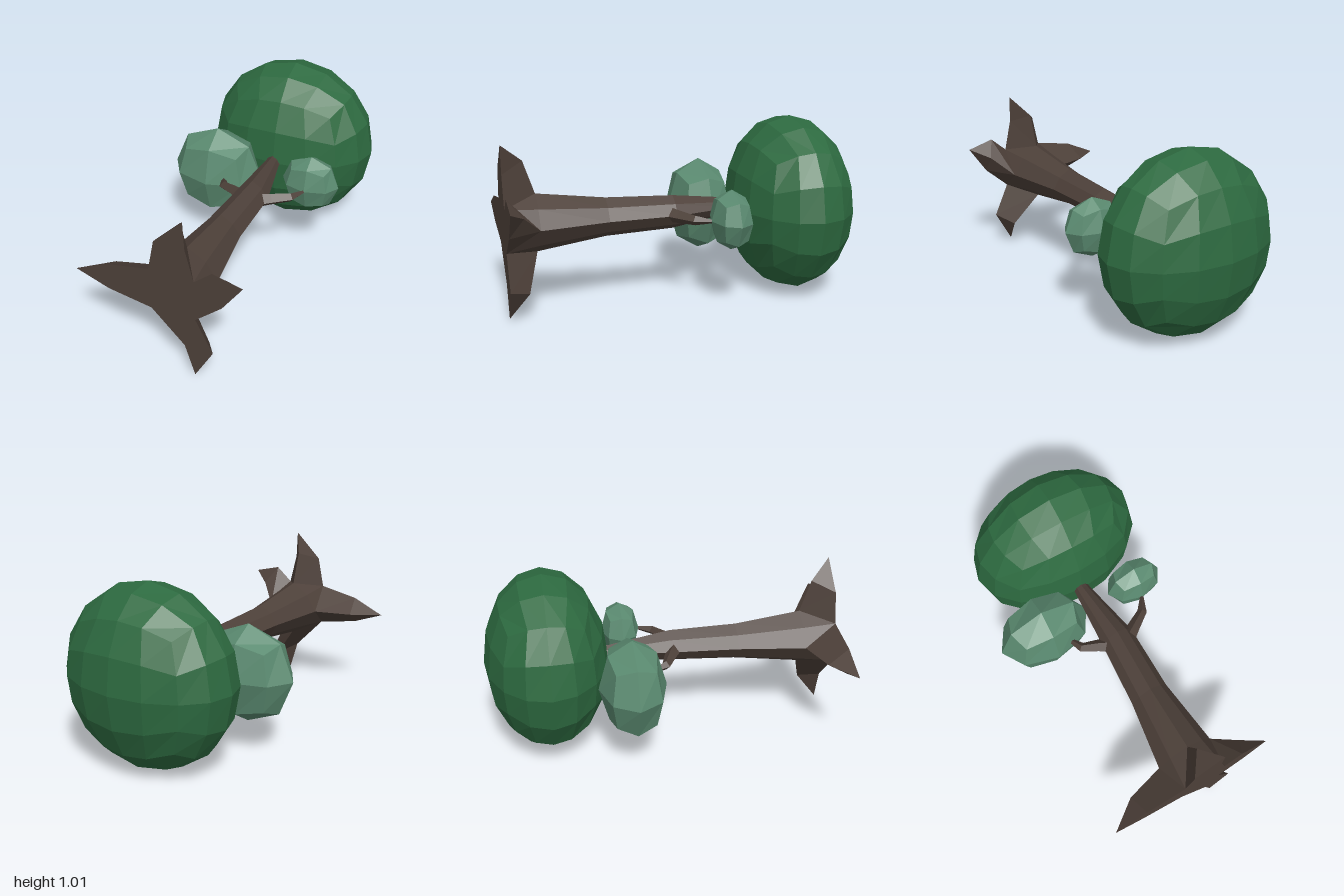
import * as THREE from 'three';

const V = (x, y, z) => new THREE.Vector3(x, y, z);
const UP = V(0, 1, 0);
const paint = (color) => new THREE.MeshStandardMaterial({ color, flatShading: true });

function add(parent, name, geometry, material) {
  const mesh = new THREE.Mesh(geometry, material);
  mesh.name = name;
  parent.add(mesh);
  return mesh;
}

function fromTriangles(points) {
  const geometry = new THREE.BufferGeometry().setFromPoints(points);
  geometry.computeVertexNormals();
  return geometry;
}

// Ring of points around a centre, across a level direction; odd corners may be pulled in
function ring(center, dir, radius, sides, oddScale = 1) {
  const across = UP.clone().cross(dir).normalize();
  return Array.from({ length: sides }, (_, i) => {
    const a = (i / sides) * Math.PI * 2;
    const r = radius * (i % 2 ? oddScale : 1);
    return center.clone().addScaledVector(across, Math.cos(a) * r).addScaledVector(UP, Math.sin(a) * r);
  });
}

// Skin between successive rings
function loft(rings) {
  const tris = [];
  for (let i = 0; i < rings.length - 1; i++) {
    const n = rings[i].length;
    for (let j = 0; j < n; j++) {
      const k = (j + 1) % n;
      const a = rings[i][j], b = rings[i][k], c = rings[i + 1][k], d = rings[i + 1][j];
      tris.push(a, b, c, a, c, d);
    }
  }
  return tris;
}

// Faceted ellipsoid: a divided cube pushed out to a sphere with even angles
function foliage(segments, rx, ry, rz) {
  const geometry = new THREE.BoxGeometry(2, 2, 2, segments, segments, segments);
  const p = geometry.attributes.position;
  const even = (t) => Math.tan((t * Math.PI) / 4);
  for (let i = 0; i < p.count; i++) {
    const v = V(even(p.getX(i)), even(p.getY(i)), even(p.getZ(i))).normalize();
    p.setXYZ(i, v.x * rx, v.y * ry, v.z * rz);
  }
  geometry.computeVertexNormals();
  return geometry;
}

export function createModel() {
  const tree = new THREE.Group();
  tree.name = 'tree';
  const bark = paint(0x4d4039);
  const darkLeaf = paint(0x2d6a40);
  const lightLeaf = paint(0x5a8a70);

  // Trunk: [x, z, radius] from the crown down to the roots
  const trunkRings = [
    [0.035, -0.4, 0.04], [0.035, -0.3, 0.046], [0.06, 0.05, 0.095], [0.045, 0.43, 0.11], [0.04, 0.81, 0.162],
  ].map(([x, z, r]) => ring(V(x, 0.505, z), V(0, 0, 1), r, 8, 0.87));
  add(tree, 'trunk', fromTriangles(loft(trunkRings)), bark);

  // Roots: flared wedges between four base notches
  const baseZ = 0.99;
  const notches = [[0.163, 0.623], [-0.079, 0.626], [-0.076, 0.384], [0.163, 0.387]];
  const roots = [
    { ridge: [0.31, 0.61, 0.91], before: [0.306, 0.51], tip: [0.416, 0.664], after: [0.26, 0.705] },
    { ridge: [0.04, 0.85, 0.87], before: [0.122, 0.8], tip: [0.117, 0.955], after: [-0.041, 0.803] },
    { ridge: [-0.335, 0.505, 0.87], before: [-0.309, 0.582], tip: [-0.495, 0.498], after: [-0.314, 0.428] },
    { ridge: [0.18, 0.155, 0.88], before: [0.099, 0.198], tip: [0.151, 0.017], after: [0.253, 0.198] },
  ];
  const low = ([x, y]) => V(x, y, baseZ);
  const collar = trunkRings[trunkRings.length - 1];
  const rootTris = [];
  const outline = [];
  roots.forEach((root, i) => {
    const top = collar[2 * i], ridge = V(...root.ridge), tip = low(root.tip);
    const sideA = low(root.after), notchA = low(notches[i]), valleyA = collar[2 * i + 1];
    const sideB = low(root.before), notchB = low(notches[(i + 3) % 4]), valleyB = collar[(2 * i + 7) % 8];
    rootTris.push(top, valleyA, notchA, top, notchA, sideA, top, sideA, ridge, ridge, sideA, tip);
    rootTris.push(top, notchB, valleyB, top, sideB, notchB, top, ridge, sideB, ridge, tip, sideB);
    outline.push(root.before, root.tip, root.after, notches[i]);
  });
  add(tree, 'roots', fromTriangles(rootTris), bark);

  // Flat underside of the roots
  const shape = new THREE.Shape(outline.map(([x, y]) => new THREE.Vector2(x, y)));
  add(tree, 'rootBase', new THREE.ShapeGeometry(shape), bark).position.z = baseZ;

  // Branches: bent, four-sided and tapering to a point
  const branches = {
    leftBranch: [[0.1, 0.505, 0.09], [0.17, 0.505, 0.045], [0.265, 0.505, -0.015], [0.33, 0.505, -0.13]],
    rightBranch: [[0.02, 0.505, 0.08], [-0.05, 0.5, 0.04], [-0.14, 0.485, -0.005], [-0.2, 0.47, -0.13]],
  };
  const radii = [0.045, 0.036, 0.027, 0.003];
  for (const [name, path] of Object.entries(branches)) {
    const pts = path.map((p) => V(...p));
    const rings = pts.map((p, i) => {
      const dir = pts[Math.min(i + 1, 3)].clone().sub(pts[Math.max(i - 1, 0)]);
      return ring(p, dir.setY(0).normalize(), radii[i], 4);
    });
    add(tree, name, fromTriangles(loft(rings)), bark);
  }

  // Foliage
  add(tree, 'crown', foliage(4, 0.5, 0.503, 0.345), darkLeaf).position.set(0.04, 0.505, -0.655);
  add(tree, 'rightFoliage', foliage(2, 0.277, 0.277, 0.187), lightLeaf).position.set(-0.27, 0.446, -0.213);
  add(tree, 'leftFoliage', foliage(2, 0.168, 0.168, 0.113), lightLeaf).position.set(0.315, 0.507, -0.203);

  return tree;
}
